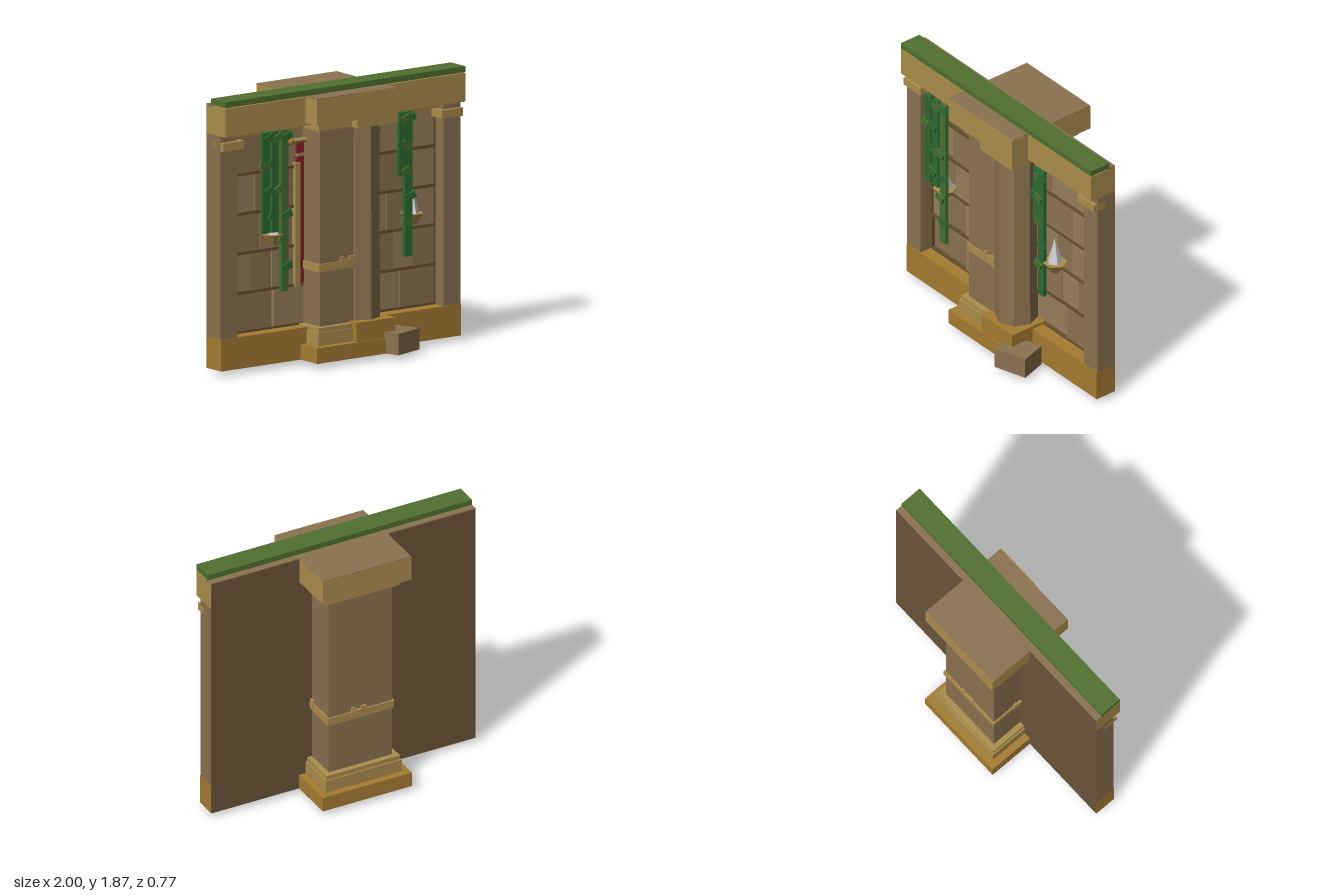
import * as THREE from 'three';

export function createModel() {
  const root = new THREE.Group();
  const mat = (color) => new THREE.MeshStandardMaterial({ color, flatShading: true, side: THREE.DoubleSide });
  const M = {
    stone: mat(0x8a7350), pale: mat(0x96805c), dark: mat(0x66502f), back: mat(0x6a543a), gold: mat(0xac8e4c),
    ochre: mat(0xa67c32), moss: mat(0x52702f), vine: mat(0x2c6a30), leaf: mat(0x456f30),
    red: mat(0x8a2030), crystal: mat(0xcccccc), rubble: mat(0x66523f),
  };
  const add = (name, geo, m, parent = root) => {
    const mesh = new THREE.Mesh(geo, m);
    mesh.name = name;
    parent.add(mesh);
    return mesh;
  };
  // Box given by its limits on each axis
  const box = (name, m, x0, x1, y0, y1, z0, z1, parent) => {
    const mesh = add(name, new THREE.BoxGeometry(x1 - x0, y1 - y0, z1 - z0), m, parent);
    mesh.position.set((x0 + x1) / 2, (y0 + y1) / 2, (z0 + z1) / 2);
    return mesh;
  };
  let seed = 7;
  const rnd = () => (seed = (seed * 16807) % 2147483647) / 2147483647;

  // Wall panel, beam and base board (the board is a shell, open underneath)
  box('wallPanel', M.back, -0.999, 0.999, 0.04, 1.83, -0.05, -0.045);
  box('wallTop', M.stone, -1, 1, 1.82, 1.836, -0.049, 0.02);
  box('baseFront', M.ochre, -1, 1, 0.04, 0.255, 0.105, 0.11);
  box('baseLedge', M.ochre, -1, 1, 0.25, 0.255, -0.045, 0.105);
  for (const s of [-1, 1]) box('baseEnd', M.ochre, s * 0.9975 - 0.0025, s * 0.9975 + 0.0025, 0.04, 0.25, -0.045, 0.105);
  box('topBeam', M.gold, -1, 1, 1.635, 1.83, -0.045, 0.16);
  box('beamTrim', M.ochre, -0.87, 0.87, 1.597, 1.635, -0.04, 0.06);
  box('mossStrip', M.moss, -1, 1, 1.835, 1.875, 0, 0.16);

  // Corner pilasters
  for (const s of [-1, 1]) {
    const p = new THREE.Group();
    p.name = 'pilaster';
    p.position.x = s * 0.93;
    root.add(p);
    box('pilasterShaft', M.stone, -0.07, 0.07, 0.255, 1.635, -0.045, 0.105, p);
    const cap = box('pilasterCap', M.gold, -0.0875, 0.0875, 1.535, 1.59, 0.02, 0.135, p);
    cap.position.x = -s * 0.0175;
  }

  // Recessed stone courses of uneven depth, with mortar ledges between them
  const courses = [
    [-0.86, -0.49, -0.24, 0.24, 0.57, 0.86],
    [-0.86, -0.67, -0.5, 0, 0.51, 0.68, 0.86],
    [-0.86, -0.6, -0.36, 0, 0.46, 0.62, 0.86],
    [-0.86, -0.64, -0.3, 0.3, 0.63, 0.86],
    [-0.86, -0.52, -0.2, 0.4, 0.86],
  ];
  courses.forEach((xs, r) => {
    const y = 0.27 + r * 0.268;
    for (let i = 0; i < xs.length - 1; i++)
      box('wallStone', (i + r) % 2 ? M.pale : M.stone, xs[i], xs[i + 1], y, y + 0.248, -0.04, -0.01 + rnd() * 0.025);
  });
  for (let r = 0; r < 6; r++) box('mortarLedge', M.dark, -0.86, 0.86, 0.25 + r * 0.268, 0.27 + r * 0.268, -0.04, 0.017);
  for (const s of [-1, 1]) box('mortarJamb', M.dark, s * 0.855 - 0.006, s * 0.855 + 0.006, 0.255, 1.6, -0.04, 0.017);

  // Square pillar: stacked square tiers around its own axis
  const pillar = new THREE.Group();
  pillar.name = 'squarePillar';
  pillar.position.z = -0.045;
  root.add(pillar);
  const tier = (name, m, h, y0, y1) => box(name, m, -h, h, y0, y1, -h, h, pillar);
  tier('plinth', M.ochre, 0.337, 0.04, 0.145);
  tier('baseStep', M.gold, 0.288, 0.145, 0.235);
  tier('baseMoulding', M.gold, 0.278, 0.235, 0.265);
  tier('shaft', M.stone, 0.24, 0.265, 1.6);
  tier('band', M.gold, 0.25, 0.635, 0.69);
  tier('neckMoulding', M.gold, 0.278, 1.6, 1.665);
  tier('capital', M.gold, 0.335, 1.655, 1.83);
  tier('capitalTop', M.stone, 0.333, 1.825, 1.836);
  // Notched clasp on every face of the band
  for (let k = 0; k < 4; k++) {
    const clasp = new THREE.Group();
    clasp.name = 'bandClasp';
    clasp.rotation.y = k * Math.PI / 2;
    pillar.add(clasp);
    box('claspPlate', M.gold, -0.075, 0.045, 0.655, 0.7, 0.235, 0.257, clasp);
    box('claspTooth', M.gold, -0.07, -0.045, 0.69, 0.72, 0.235, 0.255, clasp);
    box('claspTooth', M.gold, 0, 0.04, 0.69, 0.718, 0.235, 0.255, clasp);
  }

  // Octagonal column engaged in the front corner, with its own base and capital
  const column = add('octagonalColumn', new THREE.CylinderGeometry(0.143, 0.146, 1.34, 8), M.stone);
  column.position.set(0.148, 0.935, 0.104);
  box('columnBase', M.ochre, 0, 0.325, 0.145, 0.275, -0.04, 0.284);
  box('columnCapital', M.gold, 0, 0.337, 1.597, 1.833, -0.04, 0.295);

  // Fallen block beside the base
  const fallen = box('fallenBlock', M.stone, -0.122, 0.122, 0.04, 0.185, -0.1, 0.1);
  fallen.position.set(0.353, 0.1125, 0.257);
  fallen.rotation.y = 0.31;

  // Rubble shards beneath the plinth
  for (let i = 0; i < 22; i++) {
    const a = i * 2.4, d = 0.24 * Math.sqrt(i / 22);
    const shard = new THREE.OctahedronGeometry(0.055 + 0.035 * rnd(), 0);
    shard.rotateX(rnd() * 3).rotateZ(rnd() * 3).scale(1, 0.3, 1);
    const r = add('rubble', shard, M.rubble);
    r.position.set(-0.06 + d * Math.cos(a), 0.03, -0.06 + d * Math.sin(a));
  }

  // Hanging banner against the wall, on a rod with end knobs
  box('bannerCloth', M.red, -0.3, 0.3, 0.54, 1.5, 0.008, 0.022);
  box('bannerStripe', M.gold, -0.302, 0.302, 1.4, 1.42, 0.01, 0.026);
  const rod = add('bannerRod', new THREE.CylinderGeometry(0.017, 0.017, 0.72, 8), M.gold);
  rod.rotation.z = Math.PI / 2;
  rod.position.set(0, 1.51, 0.03);
  for (const s of [-1, 1]) {
    box('bannerBorder', M.gold, s * 0.302 - 0.021, s * 0.302 + 0.021, 0.52, 1.36, 0, 0.035);
    const knob = add('rodKnob', new THREE.SphereGeometry(0.027, 8, 6), M.ochre);
    knob.position.set(s * 0.362, 1.51, 0.03);
  }

  // Shallow bowls holding crystals
  for (const s of [-1, 1]) {
    const lamp = new THREE.Group();
    lamp.name = 'crystalLamp';
    lamp.position.set(s * 0.58, 0, 0.125);
    root.add(lamp);
    const bowl = add('bowl', new THREE.CylinderGeometry(0.083, 0.035, 0.075, 6), M.gold, lamp);
    bowl.position.y = 0.89;
    bowl.rotation.y = 0.5;
    const crystal = add('crystal', new THREE.ConeGeometry(0.054, 0.19, 5), M.crystal, lamp);
    crystal.position.set(-s * 0.003, 1.02, 0);
  }

  // Vines: [centre x, width, lowest y, leaf heights]
  const vines = [
    [-0.68, 0.055, 0.95, [1.59, 1.415, 1.235]],
    [-0.605, 0.06, 0.95, [1.59, 1.415, 1.235, 1.06]],
    [-0.525, 0.06, 0.54, [1.59, 1.235, 1.06, 0.89, 0.71]],
    [0.465, 0.075, 1.2, [1.59, 1.415, 1.235]],
    [0.505, 0.06, 0.65, [1.59, 1.415, 1.06, 0.89]],
  ];
  vines.forEach(([x, w, y, leaves], v) => {
    box('vine', v === 2 ? M.leaf : M.vine, x - w / 2, x + w / 2, y, 1.633, 0.163, 0.189);
    leaves.forEach((ly, i) => {
      const leaf = box('vineLeaf', (i + v) % 2 ? M.leaf : M.vine, -0.037, 0.037, -0.024, 0.024, -0.01, 0.01);
      leaf.position.set(x + (i % 2 ? -0.02 : 0.015), ly, 0.193);
      leaf.rotation.z = i % 2 ? -0.35 : 0.4;
    });
  });
  return root;
}
